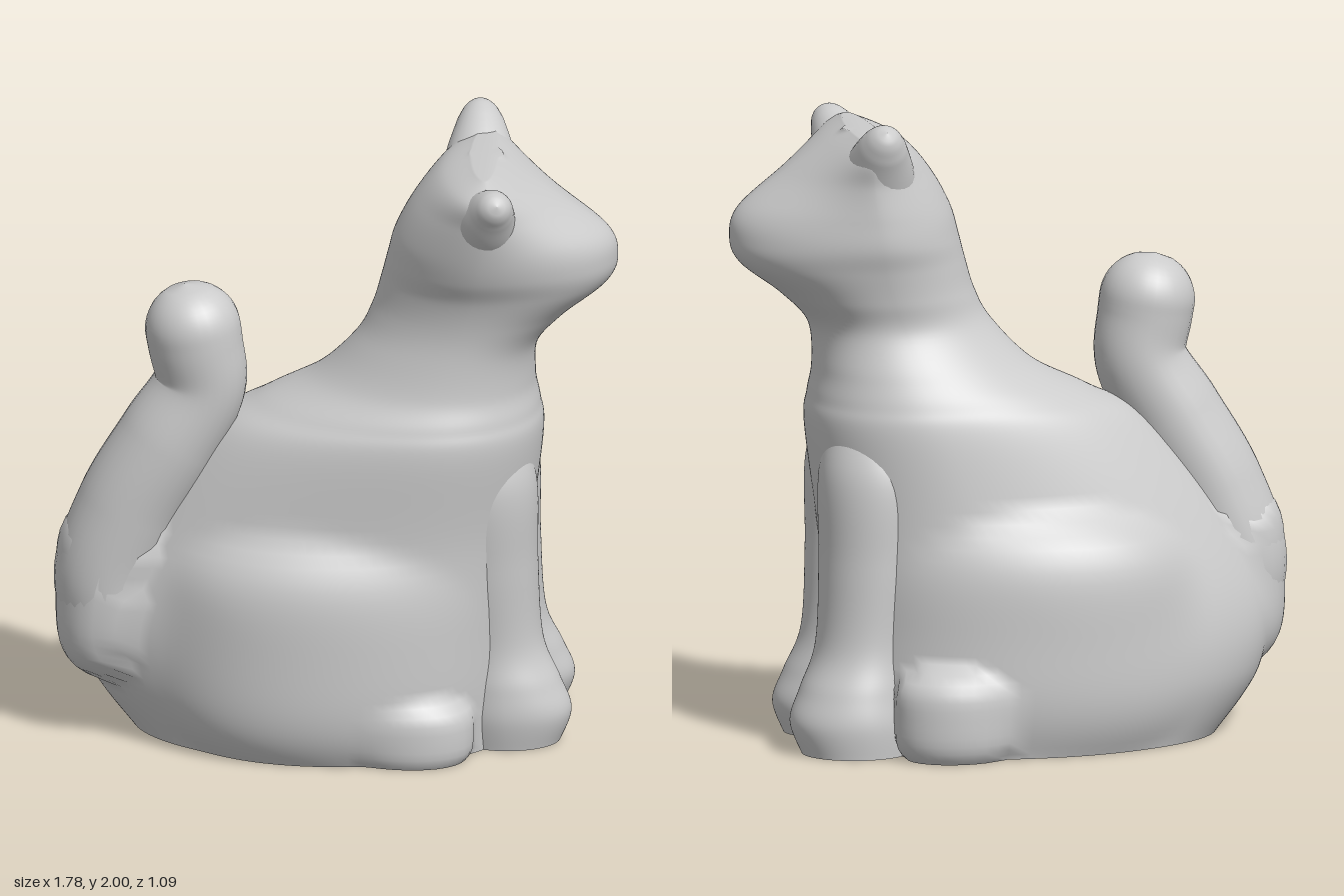
import * as THREE from 'three';

const SIDES = 112;
const material = new THREE.MeshStandardMaterial({ color: 0xcccccc });

// Smooth skin over a list of closed rings of points
function skin(rings) {
  const n = rings[0].length, pos = [], index = [];
  rings.forEach(r => r.forEach(p => pos.push(p.x, p.y, p.z)));
  for (let i = 0; i < rings.length - 1; i++) {
    for (let j = 0; j < n; j++) {
      const k = (j + 1) % n;
      const a = i * n + j, b = i * n + k, c = a + n, d = b + n;
      index.push(a, b, c, b, d, c);
    }
  }
  const g = new THREE.BufferGeometry();
  g.setAttribute('position', new THREE.Float32BufferAttribute(pos, 3));
  g.setIndex(index);
  g.computeVertexNormals();
  return g;
}

// Smooth in-between row of a table, u running from 0 to 1
function sample(rows, u) {
  const last = rows.length - 1, i = Math.min(last - 1, Math.floor(u * last)), t = u * last - i;
  const at = k => rows[Math.min(last, Math.max(0, k))];
  return rows[i].map((b, q) => {
    const a = at(i - 1)[q], c = at(i + 1)[q], d = at(i + 2)[q];
    return 0.5 * (2 * b + (c - a) * t + (2 * a - 5 * b + 4 * c - d) * t * t
      + (3 * b - a - 3 * c + d) * t * t * t);
  });
}

// How far a level ray from (ox, oz) along (dx, dz) travels inside a swelling
function reach([x, y, z, rx, ry, rz], ox, oy, oz, dx, dz) {
  const px = (ox - x) / rx, pz = (oz - z) / rz, qx = dx / rx, qz = dz / rz;
  const size = 1 - ((oy - y) / ry) ** 4;
  const a = qx * qx + qz * qz, b = px * qx + pz * qz;
  const disc = b * b - a * (px * px + pz * pz - size);
  return size > 0 && disc > 0 ? Math.max(0, (Math.sqrt(disc) - b) / a) : 0;
}

// Larger of two lengths, with a soft fillet between them
function softMax(a, b, k = 0.07) {
  const h = Math.max(0, 1 - Math.abs(a - b) / k);
  return Math.max(a, b) + k * h * h / 4;
}

// Horizontal sections: [y, back x, widest x, front x, z min, z max];
// frontPower(y) sets how pointed (low) or full (high) the front half is;
// swellings [x, y, z, rx, ry, rz] are blended into the surface
function loft(sections, frontPower = () => 2, swellings = []) {
  const ring = ([y, xb, xm, xf, z0, z1]) =>
    Array.from({ length: SIDES }, (_, j) => {
      const t = j / SIDES * Math.PI * 2, c = Math.cos(t), s = Math.sin(t);
      const e = 2 / (c > 0 ? frontPower(y) : 1.9), zc = (z0 + z1) / 2;
      const x = (c > 0 ? xf - xm : xm - xb) * Math.sign(c) * Math.abs(c) ** e;
      const z = -(z1 - z0) / 2 * Math.sign(s) * Math.abs(s) ** e;
      const len = Math.hypot(x, z), dx = x / len, dz = z / len;
      const r = swellings.reduce((m, w) => softMax(m, reach(w, xm, y, zc, dx, dz)), len);
      return new THREE.Vector3(xm + dx * r, y, zc + dz * r);
    });
  const centre = ([y, , xm, , z0, z1]) =>
    new Array(SIDES).fill(new THREE.Vector3(xm, y, (z0 + z1) / 2));
  const steps = (sections.length - 1) * 8;
  const rings = Array.from({ length: steps + 1 }, (_, i) => ring(sample(sections, i / steps)));
  // doubled first ring keeps the flat base crisp
  return skin([centre(sections[0]), rings[0], ...rings, centre(sections.at(-1))]);
}

// Round sweep through [x, y, z, radius] points, ending in a ball tip
function sweep(points, steps) {
  const curve = new THREE.CatmullRomCurve3(points.map(([x, y, z]) => new THREE.Vector3(x, y, z)));
  const { normals, binormals } = curve.computeFrenetFrames(steps);
  const length = curve.getLength(), tip = points.at(-1)[3];
  return skin(Array.from({ length: steps + 1 }, (_, i) => {
    const u = i / steps, centre = curve.getPointAt(u);
    const inset = Math.max(0, 1 - (1 - u) * length / tip);
    const r = sample(points, curve.getUtoTmapping(u))[3] * Math.sqrt(1 - inset * inset);
    return Array.from({ length: 28 }, (_, j) => {
      const t = j / 28 * Math.PI * 2;
      return centre.clone().addScaledVector(normals[i], r * Math.cos(t))
        .addScaledVector(binormals[i], r * Math.sin(t));
    });
  }));
}

export function createModel() {
  const cat = new THREE.Group();
  cat.name = 'sittingCat';
  const add = (name, geometry) => {
    const m = new THREE.Mesh(geometry, material);
    m.name = name;
    cat.add(m);
  };

  // Haunches, hind paws and the root of the tail
  const swellings = [
    [-0.05, 0.35, 0.22, 0.47, 0.42, 0.28],
    [-0.05, 0.36, -0.20, 0.47, 0.42, 0.285],
    [0.25, 0.09, 0.35, 0.19, 0.125, 0.13],
    [0.25, 0.13, -0.40, 0.19, 0.165, 0.14],
    [-0.70, 0.48, 0.10, 0.18, 0.30, 0.17],
  ];

  // Torso, neck and head in one flowing form facing +x, pointed at the muzzle
  add('bodyAndHead', loft([
    [0.00, -0.64, 0.05, 0.57, -0.44, 0.42],
    [0.20, -0.78, 0.05, 0.58, -0.45, 0.44],
    [0.42, -0.80, 0.06, 0.59, -0.42, 0.44],
    [0.70, -0.66, 0.14, 0.62, -0.375, 0.415],
    [1.00, -0.42, 0.25, 0.655, -0.34, 0.42],
    [1.10, -0.25, 0.28, 0.645, -0.31, 0.40],
    [1.19, -0.07, 0.32, 0.63, -0.265, 0.365],
    [1.32, 0.06, 0.37, 0.64, -0.20, 0.35],
    [1.42, 0.115, 0.41, 0.73, -0.21, 0.355],
    [1.52, 0.145, 0.44, 0.86, -0.23, 0.38],
    [1.60, 0.165, 0.45, 0.89, -0.25, 0.42],
    [1.69, 0.19, 0.46, 0.86, -0.25, 0.45],
    [1.80, 0.25, 0.475, 0.715, -0.245, 0.475],
    [1.89, 0.33, 0.48, 0.585, -0.25, 0.485],
    [1.935, 0.43, 0.48, 0.51, -0.17, 0.36],
  ], y => 2.15 - 0.5 * Math.exp(-(((y - 1.74) / 0.24) ** 2)), swellings));

  // Ears, flaring outwards
  add('leftSideEar', sweep([
    [0.47, 1.72, 0.28, 0.11], [0.48, 1.805, 0.39, 0.10],
    [0.505, 1.875, 0.475, 0.068], [0.522, 1.91, 0.54, 0.04]], 36));
  add('rightSideEar', sweep([
    [0.45, 1.72, -0.06, 0.13], [0.45, 1.83, -0.13, 0.115],
    [0.448, 1.93, -0.215, 0.075], [0.444, 1.985, -0.27, 0.04]], 36));

  // Tail rising along the back to a rounded tip
  add('tail', sweep([
    [-0.48, 0.12, 0.09, 0.08], [-0.64, 0.30, 0.10, 0.15], [-0.72, 0.50, 0.10, 0.165],
    [-0.65, 0.75, 0.11, 0.165], [-0.525, 0.98, 0.12, 0.16], [-0.425, 1.17, 0.12, 0.146],
    [-0.44, 1.31, 0.13, 0.15], [-0.473, 1.5, 0.13, 0.155]], 110));

  // Front legs with paws; the right one mirrors the left, leaning in towards the chest
  const leg = [
    [0.00, 0.36, 0.54, 0.71, 0.00, 0.27],
    [0.10, 0.35, 0.54, 0.745, -0.02, 0.29],
    [0.20, 0.35, 0.53, 0.71, -0.02, 0.285],
    [0.34, 0.33, 0.50, 0.655, -0.02, 0.27],
    [0.60, 0.30, 0.47, 0.64, -0.02, 0.30],
    [0.88, 0.27, 0.45, 0.635, -0.01, 0.325],
    [1.08, 0.30, 0.44, 0.57, 0.04, 0.26],
  ];
  const flip = (y, z) => -0.08 + 0.17 * y - 1.15 * z;
  add('leftSideFrontLeg', loft(leg));
  add('rightSideFrontLeg', loft(leg.map(([y, b, m, f, z0, z1]) =>
    [y, b, m, f, flip(y, z1), flip(y, z0)])));

  return cat;
}
